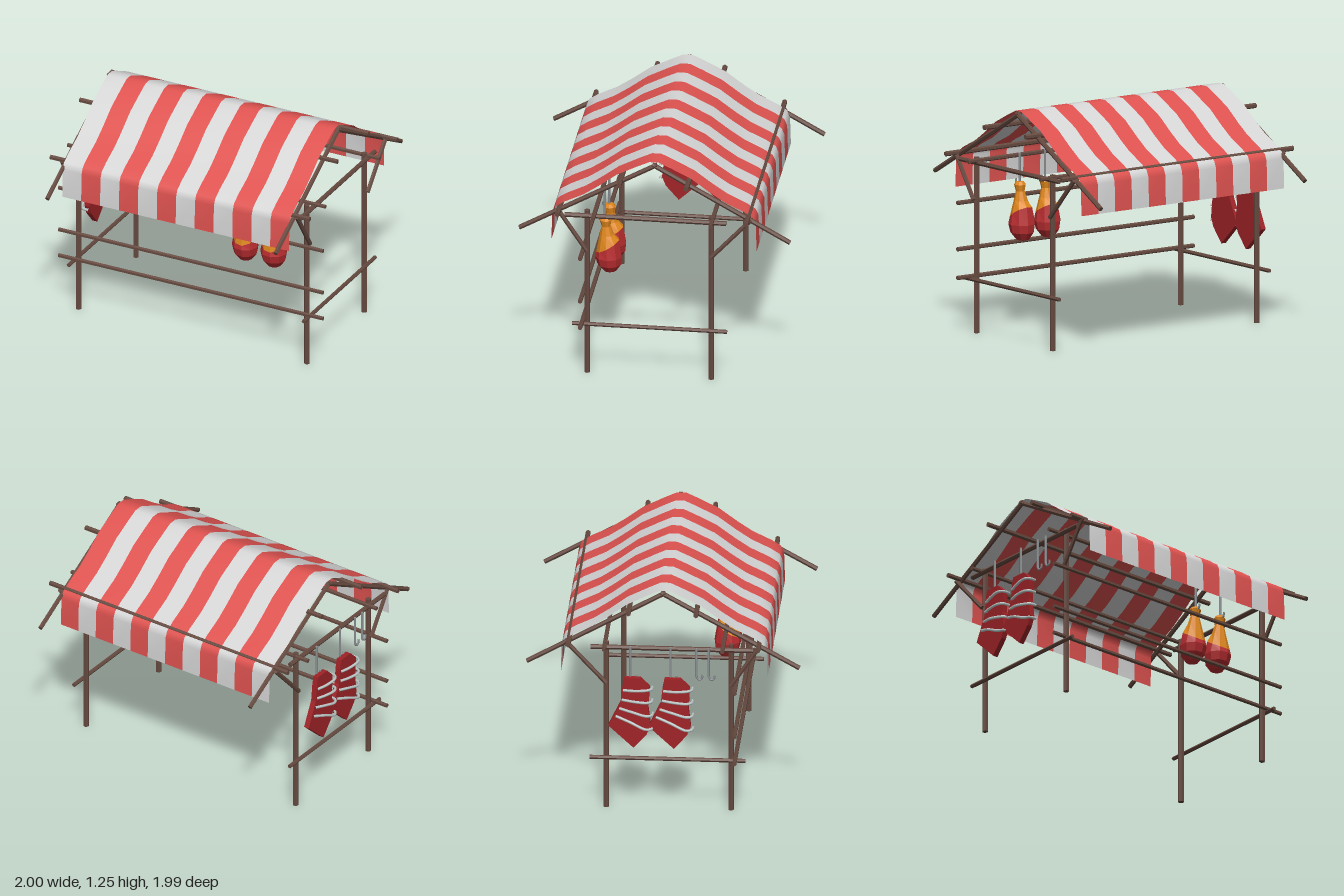
import * as THREE from 'three';

const V = (x, y, z) => new THREE.Vector3(x, y, z);
const mat = (name, color, extra = {}) => {
  const m = new THREE.MeshStandardMaterial({ color, ...extra });
  m.name = name;
  return m;
};

export function createModel() {
  const wood = mat('brown wood', 0x664a40, { flatShading: true });
  const redCloth = mat('red cloth', 0xdf5350, { side: THREE.DoubleSide });
  const whiteCloth = mat('white cloth', 0xd6d6d6, { side: THREE.DoubleSide });
  const meat = mat('dark red meat', 0xa02327, { flatShading: true });
  const hamRed = mat('ham red', 0xb82d30, { flatShading: true });
  const hamOrange = mat('ham orange', 0xde861c, { flatShading: true });
  const bone = mat('pale bone', 0xc3cccc);
  const steel = mat('grey steel', 0x8d9295);

  // The stall's ridge runs along its own z; the whole stall is turned about y.
  const stall = new THREE.Group();
  stall.name = 'stall';
  stall.rotation.y = 0.681;

  const add = (name, geo, material, parent = stall) => {
    const m = new THREE.Mesh(geo, material);
    m.name = name;
    parent.add(m);
    return m;
  };
  // Straight pole between two points
  const pole = (name, p, q, r = 0.013, material = wood, sides = 6) => {
    const d = q.clone().sub(p);
    const m = add(name, new THREE.CylinderGeometry(r, r, d.length(), sides), material);
    m.position.copy(p).addScaledVector(d, 0.5);
    m.quaternion.setFromUnitVectors(V(0, 1, 0), d.normalize());
    return m;
  };
  const tube = (name, pts, r, material, parent) =>
    add(name, new THREE.TubeGeometry(new THREE.CatmullRomCurve3(pts), 12, r, 5), material, parent);

  // Frame at each end: posts, braces, rafters and cross ties
  for (const z of [0.672, -0.692]) {
    const out = Math.sign(z) * 0.02;
    for (const [s, px] of [[1, 0.303], [-1, -0.362]]) {
      pole('post', V(px, 0, z), V(px, 0.95, z), 0.016);
      pole('brace', V(px, 0.72, z + out), V(s * 0.515, 0.95, z + out), 0.012);
      pole('rafter', V(s * -0.012, 1.237, z), V(s * 0.725, 0.825, z), 0.013);
    }
    pole('upperTie', V(-0.48, 0.925, z + out), V(0.385, 0.925, z + out), 0.013);
    pole('lowerTie', V(-0.44, 0.29, z + out), V(0.39, 0.29, z + out), 0.011);
  }

  // Long poles: roof purlins, wall plates and side rails
  for (const [name, x, y, h, r] of [
    ['purlin', 0.18, 1.145, 0.77, 0.014], ['purlin', -0.18, 1.145, 0.77, 0.014],
    ['eavePole', 0.5, 0.96, 0.775, 0.014], ['eavePole', -0.51, 0.955, 0.775, 0.014],
    ['wallPlate', 0.31, 0.935, 0.77, 0.012], ['hamPole', -0.32, 0.94, 0.77, 0.012],
    ['sideRail', -0.386, 0.71, 0.79, 0.012], ['sideRail', -0.386, 0.46, 0.79, 0.012],
    ['sideRail', -0.386, 0.305, 0.79, 0.012],
  ]) pole(name, V(x, y, -h - 0.008), V(x, y, h - 0.008), r);

  // Striped awning: twelve strips sharing one sagging cross-section
  const half = [[0.55, 0.76], [0.545, 0.92], [0.53, 0.955], [0.48, 0.987], [0.38, 1.035],
    [0.3, 1.088], [0.2, 1.162], [0.09, 1.217], [0.025, 1.247]];
  const section = [...half.map(([x, y]) => [-x, y]), ...half.slice().reverse()];
  const strip = (z0, z1) => {
    const pos = [], idx = [];
    section.forEach(([x, y], i) => {
      pos.push(x - 0.005, y, z0, x - 0.005, y, z1);
      if (i) {
        const a = 2 * i - 2;
        idx.push(a, a + 1, a + 3, a, a + 3, a + 2);
      }
    });
    const g = new THREE.BufferGeometry();
    g.setAttribute('position', new THREE.Float32BufferAttribute(pos, 3));
    g.setIndex(idx);
    g.computeVertexNormals();
    return g;
  };
  const z0 = -0.69, w = 1.355 / 12;
  for (let i = 0; i < 12; i++) {
    add('awningStripe', strip(z0 + i * w, z0 + (i + 1) * w), i % 2 ? redCloth : whiteCloth);
  }

  // Steel hook: loop over a pole, straight shank, curled tip
  const hook = (x, z, top, bottom) => {
    pole('hookShank', V(x, bottom, z), V(x, top, z), 0.007, steel);
    tube('hookTip', [V(x, bottom + 0.01, z), V(x - 0.008, bottom - 0.012, z),
      V(x - 0.026, bottom - 0.012, z), V(x - 0.034, bottom + 0.012, z)], 0.006, steel);
  };

  // Two hams hanging along the rail side
  const hamPart = (pts) => {
    const g = new THREE.LatheGeometry(pts.map(([r, y]) => new THREE.Vector2(r, y)), 9);
    const p = g.attributes.position;
    for (let i = 0; i < p.count; i++) {
      // slant the colour border, then lean the ham a little
      const y = p.getY(i);
      if (Math.abs(y - 0.635) < 1e-4) p.setY(i, y + 0.6 * p.getX(i));
      p.setX(i, p.getX(i) + (y - 0.65) * -0.08);
    }
    g.computeVertexNormals();
    return g;
  };
  for (const z of [0.262, 0.432]) {
    const ham = new THREE.Group();
    ham.name = 'ham';
    ham.position.set(-0.285, 0, z);
    add('hamFlesh', hamPart([[0, 0.483], [0.035, 0.492], [0.064, 0.53], [0.073, 0.575], [0.062, 0.635]]), hamRed, ham);
    add('hamShank', hamPart([[0.062, 0.635], [0.038, 0.7], [0.024, 0.75], [0.032, 0.785],
      [0.022, 0.8], [0, 0.802]]), hamOrange, ham);
    stall.add(ham);
    hook(-0.3, z, 0.955, 0.8);
  }

  // Two rib slabs hanging outside the back tie, bones on the outer face
  const outline = [[0.03, 0.77], [-0.055, 0.77], [-0.105, 0.72], [-0.098, 0.6], [-0.11, 0.5],
    [-0.09, 0.45], [-0.02, 0.37], [0.115, 0.495], [0.05, 0.63], [0.04, 0.72]];
  const slab = new THREE.ExtrudeGeometry(
    new THREE.Shape(outline.map(([x, y]) => new THREE.Vector2(x, y))),
    { depth: 0.03, bevelEnabled: false });
  const ribs = [[0.035, 0.7, -0.115, 0.712], [0.042, 0.645, -0.115, 0.64],
    [0.055, 0.595, -0.118, 0.563], [0.075, 0.55, -0.118, 0.485]];
  for (const x of [0.172, -0.042]) {
    const rack = new THREE.Group();
    rack.name = 'ribRack';
    rack.position.set(x, 0, -0.765);
    add('ribMeat', slab, meat, rack);
    for (const [xa, ya, xb, yb] of ribs) {
      tube('ribBone', [V(xa, ya, 0), V(xa * 0.6 + xb * 0.4, ya * 0.6 + yb * 0.4, -0.02),
        V(xb * 0.85 + xa * 0.15, yb, -0.025), V(xb, yb, -0.005), V(xb - 0.002, yb, 0.03)], 0.008, bone, rack);
    }
    stall.add(rack);
    hook(x, -0.735, 0.94, 0.765);
  }

  // Empty hooks on the same tie
  for (const x of [-0.18, -0.245]) hook(x, -0.735, 0.94, 0.775);

  const model = new THREE.Group();
  model.name = 'marketStall';
  model.add(stall);
  return model;
}
